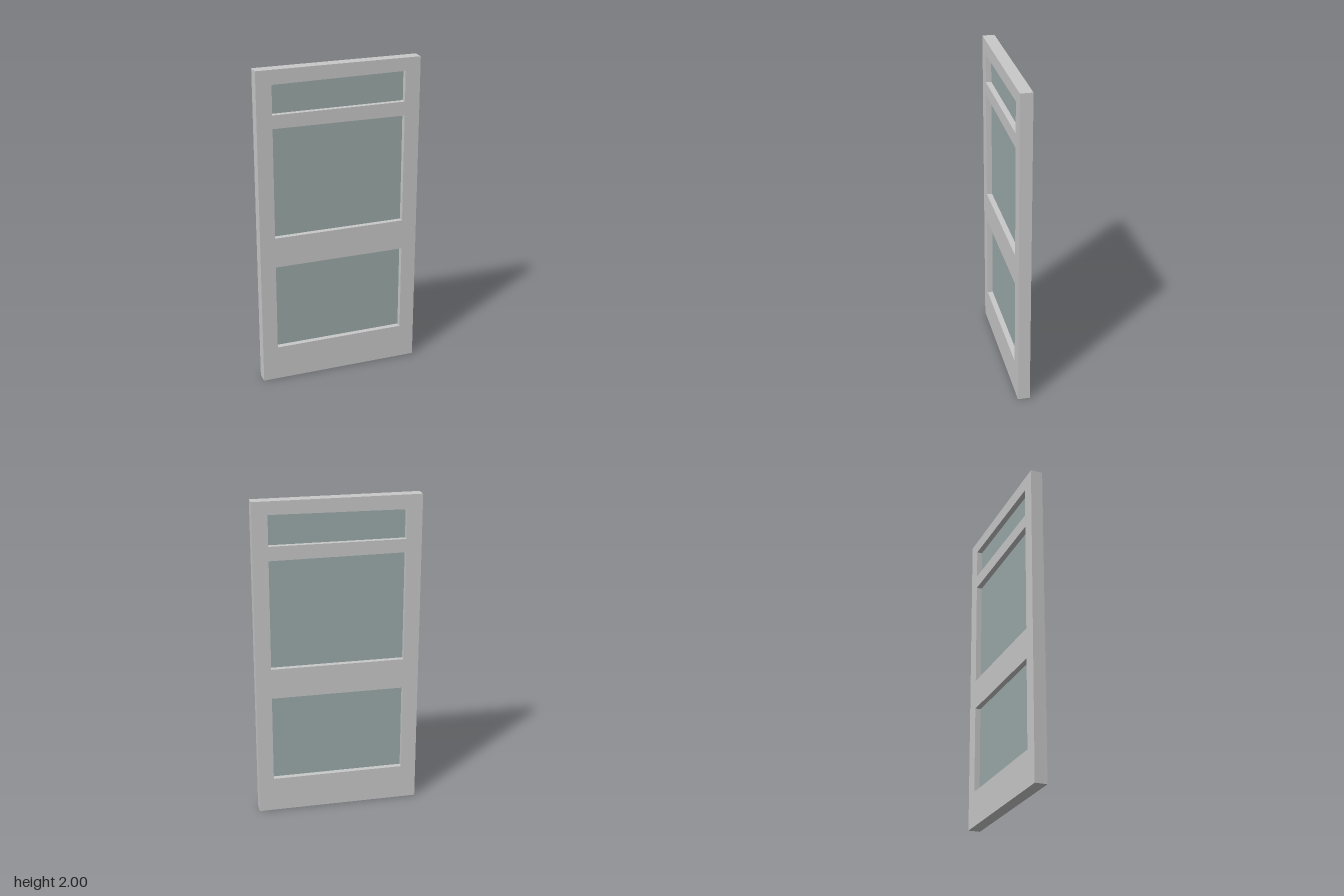
import * as THREE from 'three';

const W = 0.51, H = 2, DEPTH = 0.075, HALF = 0.415;

// Openings: bottom edge, top edge at -x, top edge at +x
const openings = [
  { name: 'lowerPane', bottom: 0.22, topA: 0.772, topB: 0.772 },
  { name: 'middlePane', bottom: 0.963, topA: 1.65, topB: 1.645 },
  { name: 'upperPane', bottom: 1.732, topA: 1.912, topB: 1.92 },
];

const corners = ({ bottom, topA, topB }) => [
  new THREE.Vector2(-HALF, bottom),
  new THREE.Vector2(HALF, bottom),
  new THREE.Vector2(HALF, topB),
  new THREE.Vector2(-HALF, topA),
];

// Slab centred on z = 0
function slab(shape, depth) {
  const geometry = new THREE.ExtrudeGeometry(shape, { depth, bevelEnabled: false });
  return geometry.translate(0, 0, -depth / 2);
}

export function createModel() {
  const group = new THREE.Group();
  group.name = 'door';
  const frameGrey = new THREE.MeshStandardMaterial({ color: 0xc8c8c8 });
  frameGrey.name = 'frameGrey';
  const paneGreen = new THREE.MeshStandardMaterial({ color: 0x9baaa9 });
  paneGreen.name = 'paneGreen';

  // Door frame with three openings
  const outline = new THREE.Shape([
    new THREE.Vector2(-W, 0), new THREE.Vector2(W, 0),
    new THREE.Vector2(W, H), new THREE.Vector2(-W, H),
  ]);
  for (const o of openings) outline.holes.push(new THREE.Path(corners(o).reverse()));
  const frame = new THREE.Mesh(slab(outline, DEPTH), frameGrey);
  frame.name = 'frame';
  group.add(frame);

  // Thin panes recessed in the middle of the frame
  for (const o of openings) {
    const pane = new THREE.Mesh(slab(new THREE.Shape(corners(o)), 0.006), paneGreen);
    pane.name = o.name;
    group.add(pane);
  }
  return group;
}
